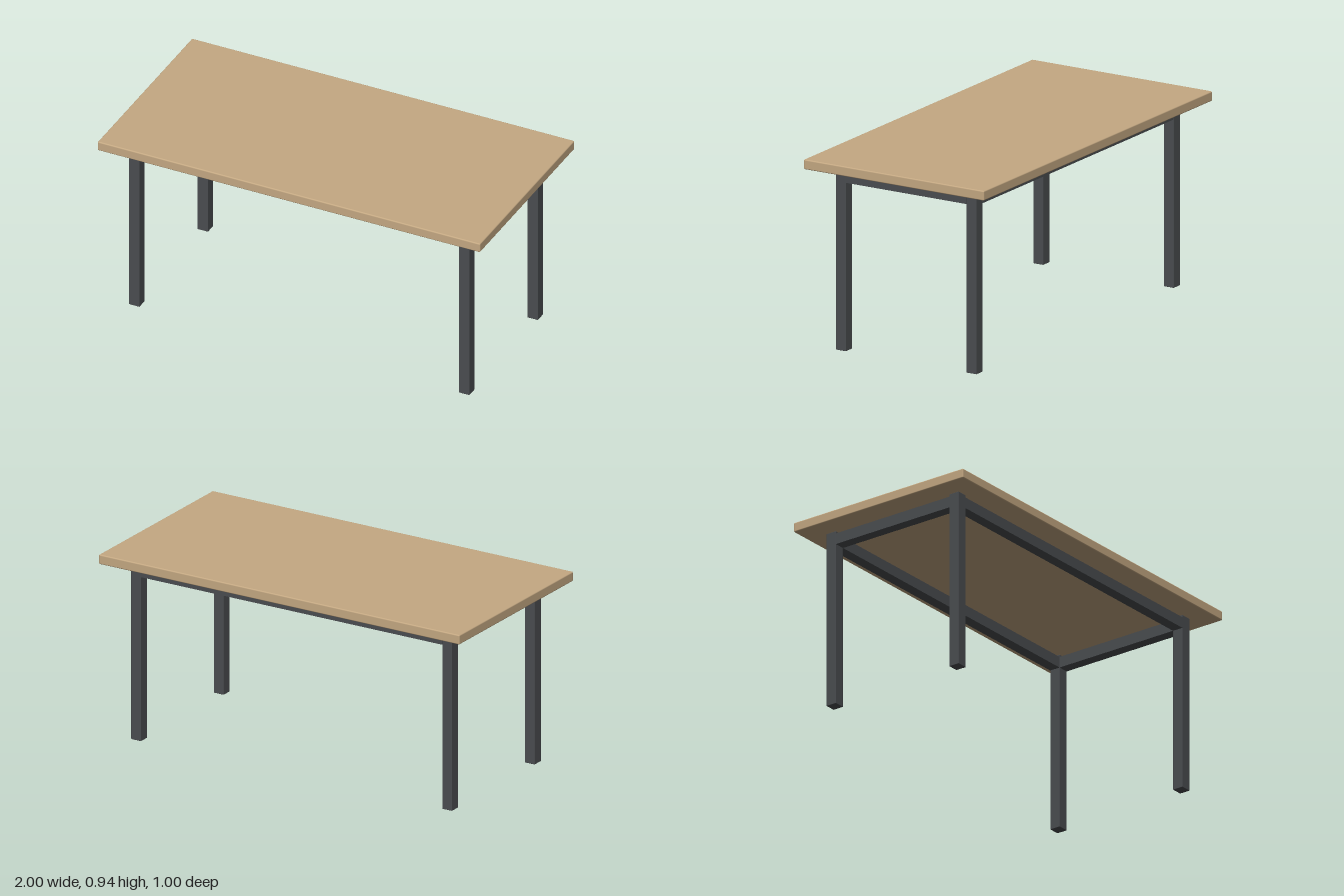
import * as THREE from 'three';
import { RoundedBoxGeometry } from 'three/addons/geometries/RoundedBoxGeometry.js';

export function createModel() {
  const table = new THREE.Group();
  table.name = 'table';

  const wood = new THREE.MeshStandardMaterial({ color: 0xc4a882 });
  wood.name = 'light wood';
  const metal = new THREE.MeshStandardMaterial({ color: 0x4a4d50 });
  metal.name = 'dark metal';

  const add = (name, geometry, material, x, y, z) => {
    const mesh = new THREE.Mesh(geometry, material);
    mesh.name = name;
    mesh.position.set(x, y, z);
    table.add(mesh);
  };

  const tube = 0.055;             // square tube width of the frame
  const legX = 0.8625, legZ = 0.3625;
  const legHeight = 0.89, topThickness = 0.048;
  const railY = 0.85;

  // Table top with softened edges
  add('tableTop', new RoundedBoxGeometry(2, topThickness, 1, 3, 0.006), wood,
    0, legHeight + topThickness / 2, 0);

  // Four legs
  const legGeometry = new RoundedBoxGeometry(tube, legHeight, tube, 2, 0.002);
  for (const sx of [1, -1]) {
    for (const sz of [1, -1]) {
      const name = (sz > 0 ? 'front' : 'back') + (sx > 0 ? 'Left' : 'Right') + 'Leg';
      add(name, legGeometry, metal, sx * legX, legHeight / 2, sz * legZ);
    }
  }

  // Rails joining the legs, with a small gap below the top
  const longRail = new THREE.BoxGeometry(2 * legX - tube, tube, tube);
  const shortRail = new THREE.BoxGeometry(tube, tube, 2 * legZ - tube);
  for (const s of [1, -1]) {
    add(s > 0 ? 'frontRail' : 'backRail', longRail, metal, 0, railY, s * legZ);
    add(s > 0 ? 'leftRail' : 'rightRail', shortRail, metal, s * legX, railY, 0);
  }

  return table;
}
